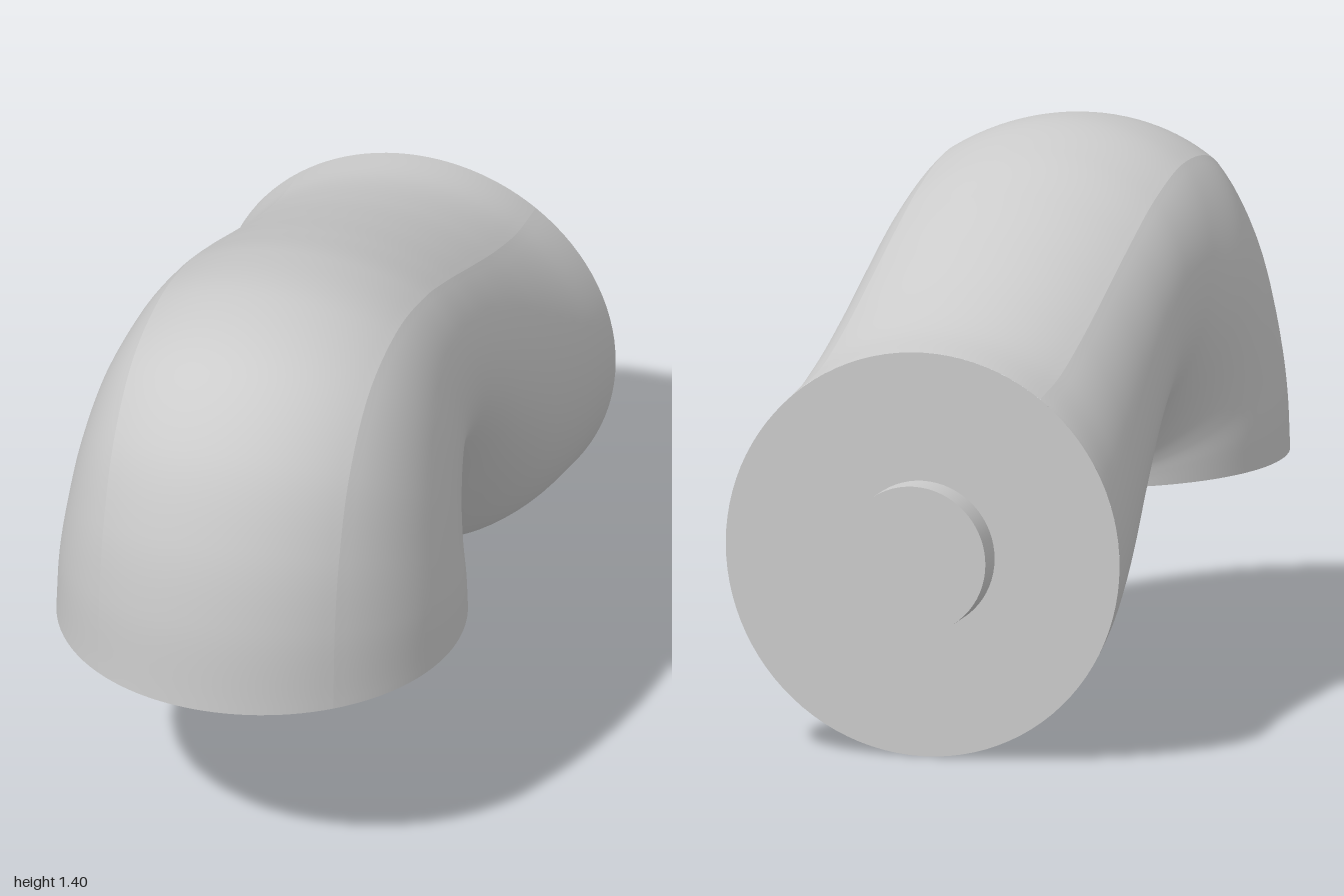
import * as THREE from 'three';

const material = new THREE.MeshStandardMaterial({ color: 0xcccccc });
const insideMaterial = new THREE.MeshStandardMaterial({ color: 0xcccccc, side: THREE.DoubleSide });

const R = 0.52;                       // radius of both end faces
const PLUG = 0.19, DEPTH = 0.08;      // peg and socket
const MID = 0.525;                    // height of the back face centre
const BASE = 0.53, BASE_Z = 0.48;     // bottom face height and centre
const CREASE = Math.asin(0.31 / R);   // half angle of the arc along the spine

// Sections from back face to bottom face: outer z, outer y, inner z, inner y, half width
const sections = [
  [-0.92, 1.045, -0.92, 0.005, 0.52],
  [-0.75, 1.07, -0.78, 0.02, 0.495],
  [-0.55, 1.13, -0.64, 0.075, 0.47],
  [-0.32, 1.215, -0.46, 0.24, 0.445],
  [-0.1, 1.297, -0.3, 0.42, 0.43],
  [0.12, 1.365, -0.17, 0.54, 0.425],
  [0.39, 1.4, -0.1, 0.565, 0.435],
  [0.66, 1.345, -0.075, 0.56, 0.46],
  [0.84, 1.19, -0.055, 0.55, 0.482],
  [0.94, 0.98, -0.045, 0.542, 0.5],
  [0.985, 0.77, -0.041, 0.536, 0.514],
  [1.0, 0.53, -0.04, 0.53, 0.52],
];
const outer = new THREE.CatmullRomCurve3(sections.map(s => new THREE.Vector3(s[4], s[1], s[0])));
const inner = new THREE.CatmullRomCurve3(sections.map(s => new THREE.Vector3(0, s[3], s[2])));

// Point of the section at t; angle a runs from the spine (0) round the +x side
function skinPoint(t, a) {
  const o = outer.getPoint(t), i = inner.getPoint(t);
  const w = o.x;
  o.x = 0;
  const h = o.distanceTo(i) / 2;
  const up = o.clone().sub(i).normalize();
  const s = Math.sin(a), c = Math.cos(a);
  const cc = Math.cos(CREASE), sc = Math.sin(CREASE);
  let x, u;
  if (c >= cc - 1e-6) {               // spine arc keeps its radius
    x = R * s;
    u = h - R * (1 - c);
  } else if (c > 0) {                 // flank, stretched between crease and half width
    const f = (1 - Math.abs(s)) / (1 - sc);
    x = Math.sign(s) * (w + (R * sc - w) * f);
    u = (h - R * (1 - cc)) * c / cc;
  } else {                            // underside, half an ellipse
    x = w * s;
    u = h * c;
  }
  return o.add(i).multiplyScalar(0.5).addScaledVector(up, u).setX(x);
}

// Lofted strip between two angles
function strip(a0, a1, cols, rows = 110) {
  const pos = [], index = [];
  for (let i = 0; i <= rows; i++) {
    for (let j = 0; j <= cols; j++) {
      pos.push(...skinPoint(i / rows, a0 + (a1 - a0) * j / cols).toArray());
      if (i < rows && j < cols) {
        const p = i * (cols + 1) + j, q = p + cols + 1;
        index.push(p, q, p + 1, q, q + 1, p + 1);
      }
    }
  }
  const g = new THREE.BufferGeometry();
  g.setAttribute('position', new THREE.Float32BufferAttribute(pos, 3));
  g.setIndex(index);
  g.computeVertexNormals();
  return g;
}

export function createModel() {
  const group = new THREE.Group();
  group.name = 'elbow';
  const add = (name, geometry, x, y, z, mat = material) => {
    const m = new THREE.Mesh(geometry, mat);
    m.name = name;
    m.position.set(x, y, z);
    group.add(m);
  };

  // Skin: arc along the spine, then flanks and underside
  add('spine', strip(-CREASE, CREASE, 24), 0, 0, 0);
  add('flanks', strip(CREASE, Math.PI * 2 - CREASE, 80), 0, 0, 0);

  // Back face with peg
  add('backFace', new THREE.CircleGeometry(R, 96).rotateY(Math.PI), 0, MID, -0.92);
  add('peg', new THREE.CylinderGeometry(PLUG, PLUG, DEPTH, 64).rotateX(Math.PI / 2), 0, MID, -0.92 - DEPTH / 2);

  // Bottom face with socket
  add('bottomFace', new THREE.RingGeometry(PLUG, R, 96).rotateX(Math.PI / 2), 0, BASE, BASE_Z);
  add('socketWall', new THREE.CylinderGeometry(PLUG, PLUG, DEPTH, 96, 1, true), 0, BASE + DEPTH / 2, BASE_Z, insideMaterial);
  add('socketFloor', new THREE.CircleGeometry(PLUG, 96).rotateX(Math.PI / 2), 0, BASE + DEPTH, BASE_Z);

  return group;
}
